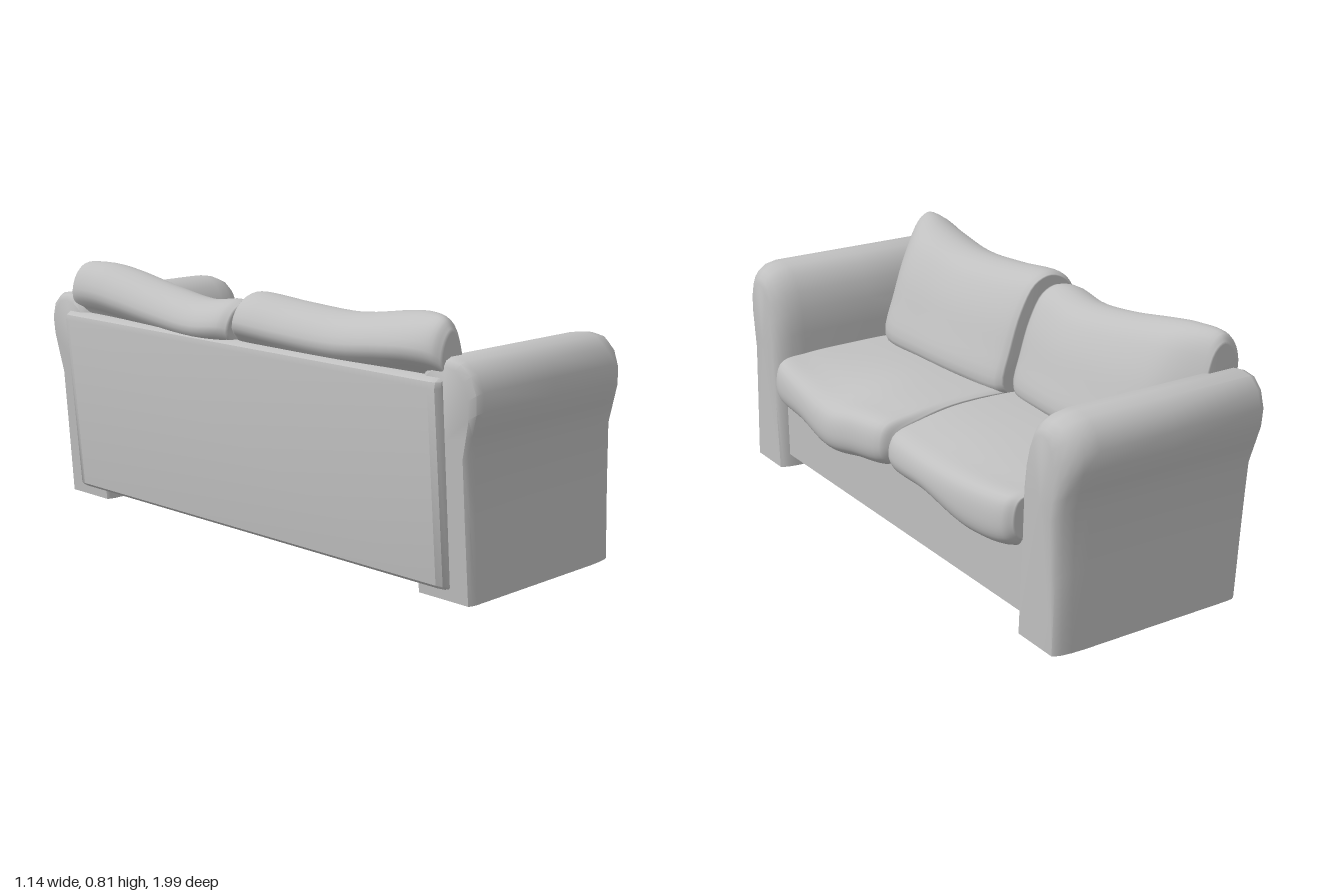
import * as THREE from 'three';
import { toCreasedNormals } from 'three/addons/utils/BufferGeometryUtils.js';

const fabric = new THREE.MeshStandardMaterial({ color: 0xc0c0c0, side: THREE.DoubleSide });
fabric.name = 'grey fabric';

// Skin a list of equal rings (arrays of Vector3) with end caps.
// Open rings leave the strip from last to first point uncovered.
function loft(rings, open = false) {
  const n = rings[0].length, pos = [], idx = [];
  rings.forEach(r => r.forEach(p => pos.push(p.x, p.y, p.z)));
  for (let i = 0; i < rings.length - 1; i++)
    for (let j = 0; j < (open ? n - 1 : n); j++) {
      const a = i * n + j, b = i * n + (j + 1) % n;
      idx.push(a, b, b + n, a, b + n, a + n);
    }
  [0, rings.length - 1].forEach((k, end) => {
    const c = new THREE.Vector3();
    rings[k].forEach(p => c.addScaledVector(p, 1 / n));
    const ci = pos.length / 3;
    pos.push(c.x, c.y, c.z);
    for (let j = 0; j < n; j++) {
      const a = k * n + j, b = k * n + (j + 1) % n;
      idx.push(ci, ...(end ? [a, b] : [b, a]));
    }
  });
  // Turn the faces outward, whichever way the rings run.
  const at = i => new THREE.Vector3().fromArray(pos, i * 3);
  let volume = 0;
  for (let i = 0; i < idx.length; i += 3)
    volume += at(idx[i]).dot(at(idx[i + 1]).cross(at(idx[i + 2])));
  if (volume < 0) idx.reverse();
  const g = new THREE.BufferGeometry();
  g.setAttribute('position', new THREE.Float32BufferAttribute(pos, 3));
  g.setIndex(idx);
  g.computeVertexNormals();
  return g;
}

// Soft cushion: control rings smoothed both along and around.
function softLoft(rings, open = false, along = 30, around = 40) {
  const lines = rings[0].map((_, j) =>
    new THREE.CatmullRomCurve3(rings.map(r => r[j]), false, 'centripetal'));
  const out = [];
  for (let i = 0; i <= along; i++) {
    const ctrl = lines.map(l => l.getPoint(i / along));
    const ring = new THREE.CatmullRomCurve3(ctrl, !open, 'centripetal');
    const steps = open ? around - 1 : around;
    out.push(Array.from({ length: around }, (_, k) => ring.getPoint(k / steps)));
  }
  return loft(out, open);
}

// Shrink a control ring about its middle, for the rounded ends.
function shrink(ring, s) {
  const c = new THREE.Vector3();
  ring.forEach(p => c.addScaledVector(p, 1 / ring.length));
  return ring.map(p => new THREE.Vector3(p.x, c.y + (p.y - c.y) * s, c.z + (p.z - c.z) * s));
}

function add(group, name, geometry) {
  const m = new THREE.Mesh(geometry, fabric);
  m.name = name;
  group.add(m);
  return m;
}

// Seat cushion, open underneath behind the apron.
// Station: [x, front z, front top y, bottom y, end shrink]
function seatCushion(stations) {
  return softLoft(stations.map(([x, f, ft, bot, s]) => shrink([
    [0.28, 0.255], [f - 0.07, bot], [f - 0.015, bot + 0.025],
    [f, (ft + bot) / 2], [f - 0.02, ft], [f - 0.12, (ft + 0.42) / 2 + 0.005],
    [0.1, 0.42], [-0.15, 0.415], [-0.25, 0.39],
  ].map(([z, y]) => new THREE.Vector3(x, y, z)), s)), true);
}

// Back cushion: bulges over the top of the back panel, held in front of it below.
// Station: [x, back z, front z, top y, end shrink]
function backCushion(stations) {
  const profile = [[0.2, 0], [0.9, 0], [1, 0.1], [0.9, 0.4], [0.75, 0.72],
    [0.56, 0.94], [0.33, 1], [0.1, 0.92], [0, 0.74], [0.07, 0.52]];
  return softLoft(stations.map(([x, b, f, top, s]) => shrink(
    profile.map(([u, v]) => {
      const y = 0.4 + (top - 0.4) * v, z = b + (f - b) * u;
      return new THREE.Vector3(x, y, y < 0.63 ? Math.max(z, -0.3) : z);
    }), s)));
}

// Rolled arm: one outline swept from back to front, open underneath.
function arm(side) {
  const outline = [[0.705, 0], [0.705, 0.25], [0.705, 0.48], [0.715, 0.56], [0.735, 0.62],
    [0.765, 0.67], [0.805, 0.695], [0.85, 0.702], [0.895, 0.695], [0.93, 0.665],
    [0.95, 0.615], [0.948, 0.56], [0.93, 0.5], [0.912, 0.44], [0.908, 0.25], [0.905, 0]];
  const sections = [[-0.345, 0.025], [-0.335, 0.008], [-0.315, 0], [0, 0], [0.26, 0],
    [0.305, 0.007], [0.336, 0.022], [0.354, 0.042], [0.362, 0.06]];
  const rings = sections.map(([z, inset]) => outline.map(([a, y]) => {
    const softness = 0.4 + 0.6 * Math.min(1, y / 0.6); // rounder toward the top
    const x = 0.81 + (a - 0.81) * (1 - inset * softness / 0.12);
    const lean = z < -0.1 ? 0.05 * (1 - y / 0.7) : 0; // back edge leans
    return new THREE.Vector3(side * x, y * (1 - inset / 0.7), z + lean);
  }));
  return toCreasedNormals(loft(rings, true), 0.7);
}

export function createModel() {
  const model = new THREE.Group();
  model.name = 'sofa';
  const sofa = new THREE.Group();
  sofa.name = 'sofaBody';
  sofa.rotation.y = THREE.MathUtils.degToRad(105);
  model.add(sofa);

  // Arms
  add(sofa, 'leftArm', arm(1));
  add(sofa, 'rightArm', arm(-1));

  // Front apron; the frame is hollow behind it
  const apron = add(sofa, 'frontApron', new THREE.BoxGeometry(1.44, 0.24, 0.02));
  apron.position.set(0, 0.165, 0.32);

  // Thin leaning back panel with softened edges
  const backOutline = [[-0.312, 0.035], [-0.322, 0.045], [-0.37, 0.615], [-0.366, 0.633],
    [-0.35, 0.643], [-0.28, 0.64], [-0.34, 0.61], [-0.295, 0.035]];
  const ends = [[-0.832, 0.02], [-0.822, 0.005], [-0.8, 0], [0.8, 0], [0.822, 0.005], [0.832, 0.02]];
  add(sofa, 'backPanel', toCreasedNormals(loft(ends.map(([x, inset]) =>
    backOutline.map(([z, y], i) => new THREE.Vector3(x, y, z + (i < 5 ? inset : 0))))), 0.7));

  // Seat cushions, the right one sagging at the front
  add(sofa, 'rightSeatCushion', seatCushion([
    [0, 0.355, 0.36, 0.26, 0.88], [-0.025, 0.372, 0.38, 0.245, 1], [-0.18, 0.395, 0.37, 0.222, 1],
    [-0.33, 0.404, 0.345, 0.2, 1], [-0.5, 0.402, 0.37, 0.235, 1], [-0.67, 0.392, 0.4, 0.25, 1],
    [-0.7, 0.385, 0.4, 0.255, 0.92]]));
  add(sofa, 'leftSeatCushion', seatCushion([
    [0.006, 0.355, 0.36, 0.265, 0.88], [0.03, 0.37, 0.37, 0.25, 1], [0.25, 0.392, 0.37, 0.25, 1],
    [0.5, 0.403, 0.385, 0.228, 1], [0.67, 0.386, 0.4, 0.245, 1], [0.7, 0.375, 0.4, 0.26, 0.92]]));

  // Back cushions, taller at the outer ends
  add(sofa, 'rightBackCushion', backCushion([
    [0.01, -0.355, -0.07, 0.785, 0.96], [-0.02, -0.37, -0.055, 0.788, 1], [-0.2, -0.365, -0.03, 0.775, 1],
    [-0.42, -0.36, -0.02, 0.768, 1], [-0.63, -0.37, -0.02, 0.797, 1], [-0.74, -0.38, -0.1, 0.808, 1],
    [-0.81, -0.37, -0.19, 0.8, 1], [-0.838, -0.355, -0.23, 0.785, 0.9]]));
  add(sofa, 'leftBackCushion', backCushion([
    [0.02, -0.36, -0.1, 0.757, 0.96], [0.06, -0.375, -0.085, 0.758, 1], [0.2, -0.37, -0.07, 0.742, 1],
    [0.4, -0.36, -0.06, 0.763, 1], [0.6, -0.36, -0.06, 0.798, 1], [0.7, -0.36, -0.085, 0.81, 1],
    [0.8, -0.35, -0.16, 0.803, 1], [0.822, -0.335, -0.175, 0.79, 0.92]]));

  return model;
}
